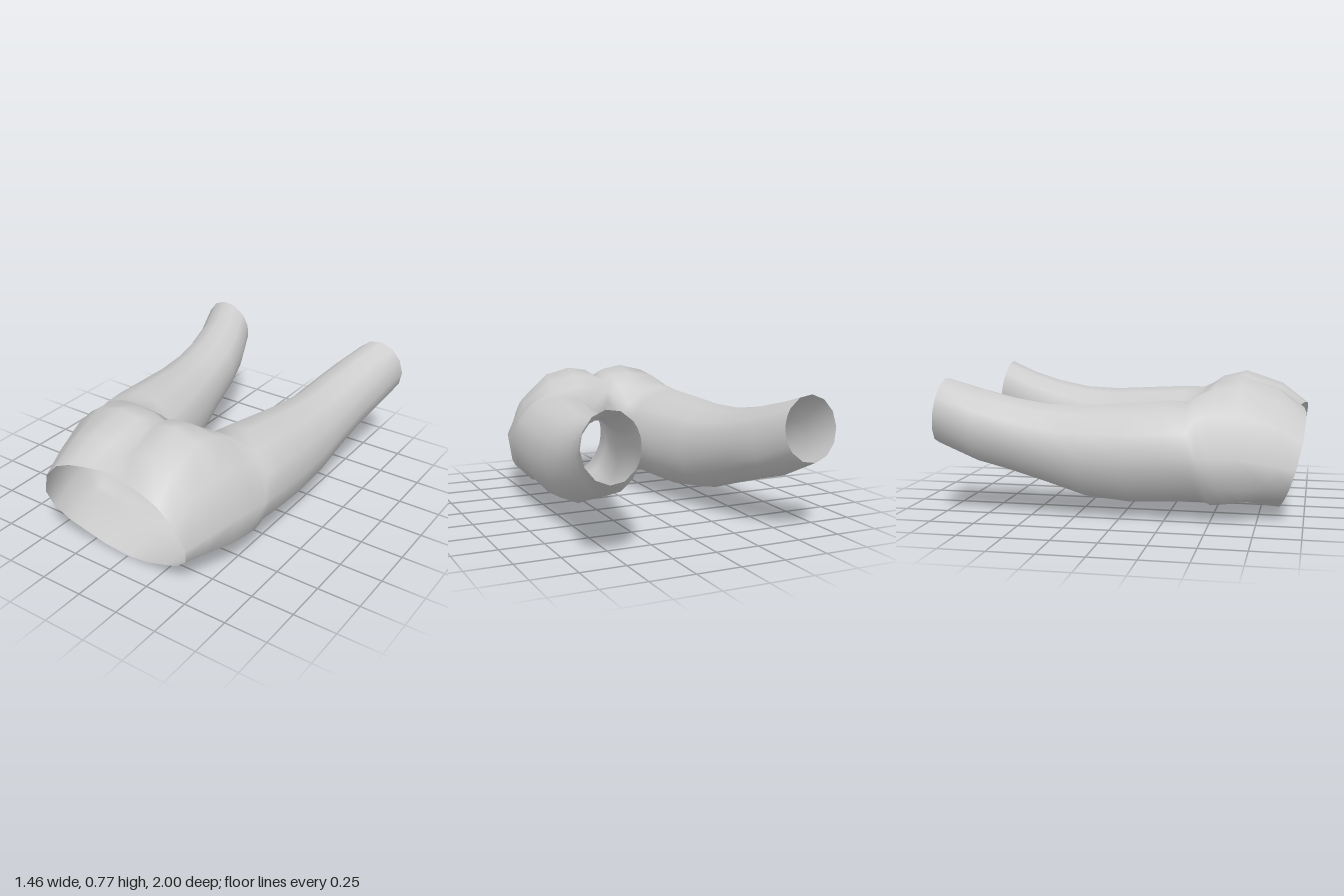
import * as THREE from 'three';
import { mergeVertices } from 'three/addons/utils/BufferGeometryUtils.js';

const ARC = 11;    // points from top centre, round the outside, to bottom centre
const SIDES = 16;  // the arc plus the inner wall of a leg

// Half sections of the hips: z at top, z at bottom, then x, y pairs
const hips = [
  [1, 0.85, [0, 0.595, 0.12, 0.597, 0.24, 0.58, 0.34, 0.535, 0.43, 0.44, 0.48, 0.3, 0.455, 0.2, 0.37, 0.12, 0.29, 0.085, 0.15, 0.025, 0, 0]],
  [0.85, 0.76, [0, 0.655, 0.08, 0.69, 0.2, 0.7, 0.32, 0.65, 0.45, 0.52, 0.53, 0.33, 0.5, 0.2, 0.41, 0.125, 0.3, 0.09, 0.15, 0.035, 0, 0.02]],
  [0.64, 0.67, [0, 0.7, 0.06, 0.752, 0.18, 0.772, 0.33, 0.735, 0.49, 0.59, 0.59, 0.37, 0.56, 0.2, 0.45, 0.11, 0.31, 0.09, 0.15, 0.045, 0, 0.045]],
  [0.5, 0.6, [0, 0.695, 0.07, 0.725, 0.19, 0.735, 0.35, 0.71, 0.52, 0.59, 0.615, 0.37, 0.58, 0.2, 0.47, 0.1, 0.32, 0.09, 0.15, 0.06, 0, 0.065]],
  // crotch section, closed by the line between the legs
  [0.42, 0.53, [0, 0.64, 0.08, 0.67, 0.2, 0.68, 0.36, 0.675, 0.53, 0.57, 0.63, 0.37, 0.59, 0.2, 0.48, 0.095, 0.33, 0.09, 0.16, 0.095, 0, 0.1,
    0, 0.18, 0, 0.28, 0, 0.38, 0, 0.48, 0, 0.57]],
];

// Oval sections of a leg: z at top, z at bottom, inner x, outer x, bottom y, top y
const legs = [
  [0.36, 0.44, 0.055, 0.635, 0.09, 0.65],
  [0.25, 0.28, 0.075, 0.645, 0.085, 0.65],
  [0.05, 0.05, 0.13, 0.645, 0.078, 0.637],
  [-0.2, -0.2, 0.2, 0.642, 0.11, 0.62],
  [-0.4, -0.42, 0.25, 0.642, 0.185, 0.625],
  [-0.6, -0.62, 0.285, 0.655, 0.25, 0.66],
  [-0.78, -0.8, 0.335, 0.68, 0.305, 0.71],
  [-0.95, -1, 0.41, 0.73, 0.41, 0.77],
];

function hipRing([zTop, zBottom, xy], index) {
  const ring = [];
  for (let i = 0; i < xy.length; i += 2) {
    const x = xy[i], y = xy[i + 1];
    let z = zBottom + (zTop - zBottom) * Math.sin(Math.min(1, y / 0.6) * Math.PI / 2);
    // small dip in the middle of the waist edge
    if (index === 0 && y > 0.4) z -= 0.04 * Math.max(0, 1 - x / 0.2);
    ring.push([x, y, z]);
  }
  return ring;
}

function legRing([zTop, zBottom, xIn, xOut, yBottom, yTop]) {
  const ring = [];
  for (let j = 0; j < SIDES; j++) {
    const degrees = j < ARC ? 140 - 28 * j : -140 - (80 / 6) * (j - ARC + 1);
    const a = THREE.MathUtils.degToRad(degrees);
    const t = (1 + Math.sin(a)) / 2;
    ring.push([
      (xIn + xOut) / 2 + (xOut - xIn) / 2 * Math.cos(a),
      yBottom + (yTop - yBottom) * t,
      zBottom + (zTop - zBottom) * t,
    ]);
  }
  return ring;
}

export function createModel() {
  const rings = [...hips.map(hipRing), ...legs.map(legRing)];
  const positions = [];
  const indices = [];

  // Both halves, mirrored across x = 0
  for (const side of [1, -1]) {
    const starts = rings.map((ring) => {
      const start = positions.length / 3;
      ring.forEach(([x, y, z]) => positions.push(side * x, y, z));
      return start;
    });
    for (let r = 0; r < rings.length - 1; r++) {
      const closed = rings[r].length === SIDES;
      const count = closed ? SIDES : ARC - 1;
      for (let j = 0; j < count; j++) {
        const k = (j + 1) % SIDES;
        const a = starts[r] + j, b = starts[r] + k;
        const c = starts[r + 1] + j, d = starts[r + 1] + k;
        if (side > 0) indices.push(a, b, c, b, d, c);
        else indices.push(a, c, b, b, c, d);
      }
    }
  }

  let geometry = new THREE.BufferGeometry();
  geometry.setAttribute('position', new THREE.Float32BufferAttribute(positions, 3));
  geometry.setIndex(indices);
  geometry = mergeVertices(geometry, 1e-4);
  geometry.computeVertexNormals();

  const material = new THREE.MeshStandardMaterial({ color: 0xcccccc, side: THREE.DoubleSide });
  const trousers = new THREE.Mesh(geometry, material);
  trousers.name = 'hipsAndLegs';

  const group = new THREE.Group();
  group.name = 'lowerBody';
  group.add(trousers);
  return group;
}
